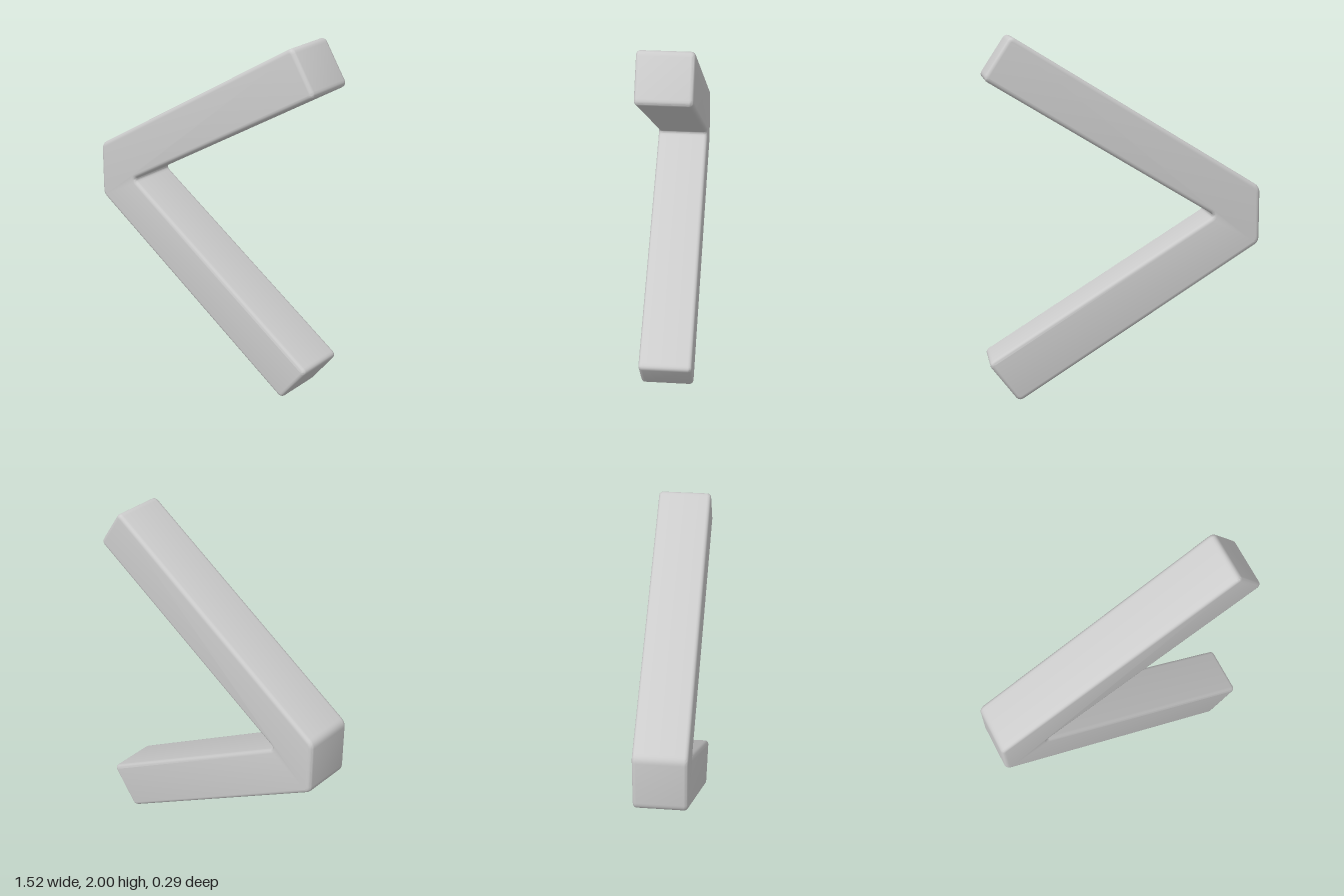
import * as THREE from 'three';
import { toCreasedNormals } from 'three/addons/utils/BufferGeometryUtils.js';

// Closed outline through the given corners, each softened by a small curve
function roundedOutline(corners, r) {
  const pts = corners.map(([x, y]) => new THREE.Vector2(x, y));
  const shape = new THREE.Shape();
  pts.forEach((p, i) => {
    const prev = pts[(i + pts.length - 1) % pts.length];
    const next = pts[(i + 1) % pts.length];
    const a = p.clone().add(prev.clone().sub(p).setLength(r));
    const b = p.clone().add(next.clone().sub(p).setLength(r));
    if (i === 0) shape.moveTo(a.x, a.y);
    else shape.lineTo(a.x, a.y);
    shape.quadraticCurveTo(p.x, p.y, b.x, b.y);
  });
  shape.closePath();
  return shape;
}

export function createModel() {
  const group = new THREE.Group();
  const halfDepth = 0.145;
  const bevel = 0.022;

  // Counter-clockwise: blunt elbow on the left, two arms opening to the right
  const outline = roundedOutline([
    [-0.76, 0.845], [0.602, -0.01], [0.77, 0.214],
    [-0.505, 1.005],
    [0.77, 1.783], [0.62, 2.011], [-0.76, 1.16],
  ], 0.032);

  const geometry = new THREE.ExtrudeGeometry(outline, {
    depth: 2 * (halfDepth - bevel),
    bevelEnabled: true,
    bevelSize: bevel,
    bevelThickness: bevel,
    bevelOffset: -bevel,
    bevelSegments: 4,
    curveSegments: 5,
  });
  geometry.translate(0, 0, -(halfDepth - bevel));

  const bracket = new THREE.Mesh(
    toCreasedNormals(geometry, 0.7),
    new THREE.MeshStandardMaterial({ color: 0xcccccc })
  );
  bracket.name = 'angleBracket';
  group.add(bracket);
  return group;
}
